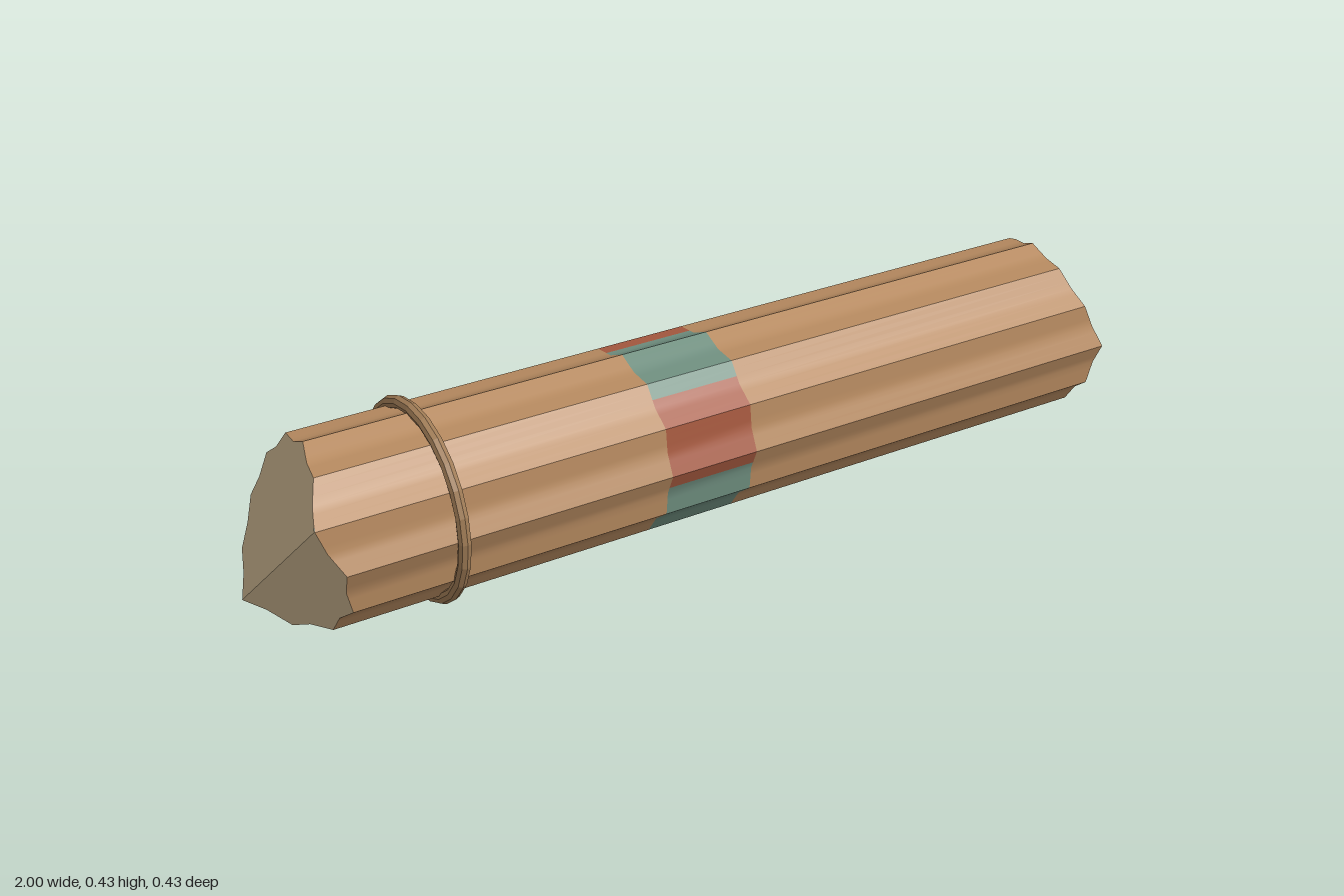
import * as THREE from 'three';
import { toCreasedNormals } from 'three/addons/utils/BufferGeometryUtils.js';

const CY = 0.2135;          // height of the log's axis
const FLUTES = 12, SUB = 6; // flutes around the log, steps across each flute
const N = FLUTES * SUB;

// Unit cross-section point [z, y]: sharp ridges with shallow valleys between
function section(i) {
  const corner = (k) => {
    const a = (k * Math.PI) / FLUTES, r = k % 2 ? 0.925 : 1;
    return [r * Math.cos(a), r * Math.sin(a)];
  };
  const half = SUB / 2, k = Math.floor(i / half), t = (i - k * half) / half;
  const p = corner(k), q = corner(k + 1);
  return [p[0] + (q[0] - p[0]) * t, p[1] + (q[1] - p[1]) * t];
}

// Sloping saw cuts: x = a + b * y + c * z, measured from the axis
const cut = (a, b, c) => (z, y) => a + b * y + c * z;
const leftCuts = [cut(-0.957, 0.353, -0.161), cut(-1.005, -0.335, 0.527)];
const rightCuts = [cut(0.941, -0.406, -0.11), cut(0.98, 0.264, -0.317), cut(1.05, -0.773, 0.495)];
const LEFT_R = 0.194, RIGHT_R = 0.189;
const leftEnd = (z, y) => Math.max(...leftCuts.map((f) => f(z, y)));
const rightEnd = (z, y) => Math.min(...rightCuts.map((f) => f(z, y)));

const radiusAt = (x) => LEFT_R + ((RIGHT_R - LEFT_R) * (x + 0.93)) / 1.86;
const straight = (x) => ({ r: radiusAt(x), x: () => x });

function geometryFrom(points) {
  const g = new THREE.BufferGeometry();
  g.setAttribute('position', new THREE.Float32BufferAttribute(points.flat(), 3));
  g.computeVertexNormals();
  return g;
}

// Fluted skin between two stations, over steps i0..i1 around the axis
function skin(s0, s1, i0 = 0, i1 = N) {
  const pts = [];
  const at = (s, i) => {
    const [u, v] = section(i);
    return [s.x(u * s.r, v * s.r), CY + v * s.r, u * s.r];
  };
  for (let i = i0; i < i1; i++) {
    const a = at(s0, i), b = at(s1, i), c = at(s1, i + 1), d = at(s0, i + 1);
    pts.push(a, b, c, a, c, d);
  }
  return toCreasedNormals(geometryFrom(pts), 0.42);
}

// Keep the part of a [z, y] polygon where f >= 0
function clip(poly, f) {
  const out = [];
  poly.forEach((p, i) => {
    const q = poly[(i + 1) % poly.length], fp = f(p), fq = f(q);
    if (fp >= 0) out.push(p);
    if (fp * fq < 0) {
      const t = fp / (fp - fq);
      out.push([p[0] + (q[0] - p[0]) * t, p[1] + (q[1] - p[1]) * t]);
    }
  });
  return out;
}

// Faceted end made of the sawn planes; side is +1 or -1 along x
function endCap(cuts, r, side) {
  const pts = [];
  for (const f of cuts) {
    let poly = Array.from({ length: N }, (_, i) => section(i).map((v) => v * r));
    for (const g of cuts) if (g !== f) poly = clip(poly, (p) => side * (g(...p) - f(...p)));
    if (poly.length < 3) continue;
    const contour = poly.map((p) => new THREE.Vector2(...p));
    for (const tri of THREE.ShapeUtils.triangulateShape(contour, [])) {
      const t = tri.map((k) => contour[k]);
      if (THREE.ShapeUtils.area(t) * side > 0) t.reverse();
      for (const p of t) pts.push([f(p.x, p.y), CY + p.y, p.x]);
    }
  }
  return geometryFrom(pts);
}

export function createModel() {
  const model = new THREE.Group();
  const mat = (color, flatShading = false) => new THREE.MeshStandardMaterial({ color, flatShading });
  const wood = mat(0xb5895f), sawn = mat(0xcab48f, true);
  const red = mat(0xa5593f), teal = mat(0x6f8e7f), cord = mat(0xa07c56, true);

  const add = (name, geometry, material) => {
    const mesh = new THREE.Mesh(geometry, material);
    mesh.name = name;
    model.add(mesh);
    return mesh;
  };

  // Fluted wooden shaft on both sides of the painted band
  const bandStart = straight(-0.19), bandEnd = straight(0.01);
  add('shaftRight', skin({ r: LEFT_R, x: leftEnd }, bandStart), wood);
  add('shaftLeft', skin(bandEnd, { r: RIGHT_R, x: rightEnd }), wood);

  // Painted band of six alternating patches
  for (let k = 0; k < 6; k++) {
    const i0 = 10 + k * 12;
    add('paintedPatch' + (k + 1), skin(bandStart, bandEnd, i0, i0 + 12), k % 2 ? red : teal);
  }

  // Sawn ends
  add('sawnEndRight', endCap(leftCuts, LEFT_R, -1), sawn);
  add('sawnEndLeft', endCap(rightCuts, RIGHT_R, 1), sawn);

  // Cord ring around the shaft
  const ring = add('cordRing', new THREE.TorusGeometry(0.199, 0.0135, 8, 24), cord);
  ring.rotation.y = Math.PI / 2;
  ring.position.set(-0.66, CY, 0);

  return model;
}
